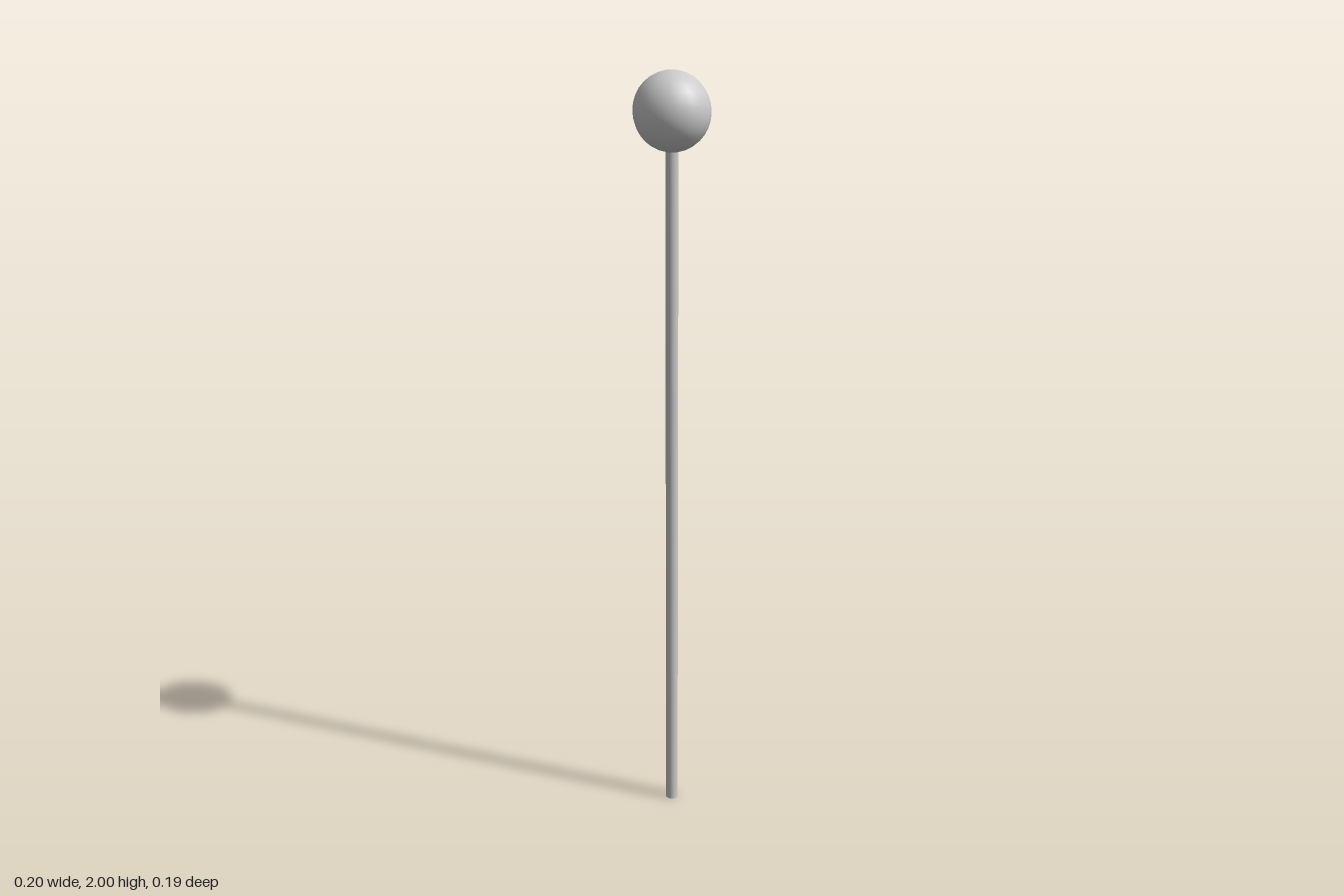
import * as THREE from 'three';

export function createModel() {
  const model = new THREE.Group();
  const material = new THREE.MeshStandardMaterial({ color: 0xcccccc });

  const addPart = (name, geometry, y) => {
    const mesh = new THREE.Mesh(geometry, material);
    mesh.name = name;
    mesh.position.y = y;
    model.add(mesh);
    return mesh;
  };

  // Slender rod, its top end sunk into the ball
  const rodHeight = 1.83;
  addPart('rod', new THREE.CylinderGeometry(0.016, 0.016, rodHeight, 16), rodHeight / 2);

  // Ball, slightly flattened front to back
  const radius = 0.098;
  const ball = addPart('ball', new THREE.SphereGeometry(radius, 20, 16), 2 - radius);
  ball.scale.z = 0.95;

  return model;
}
